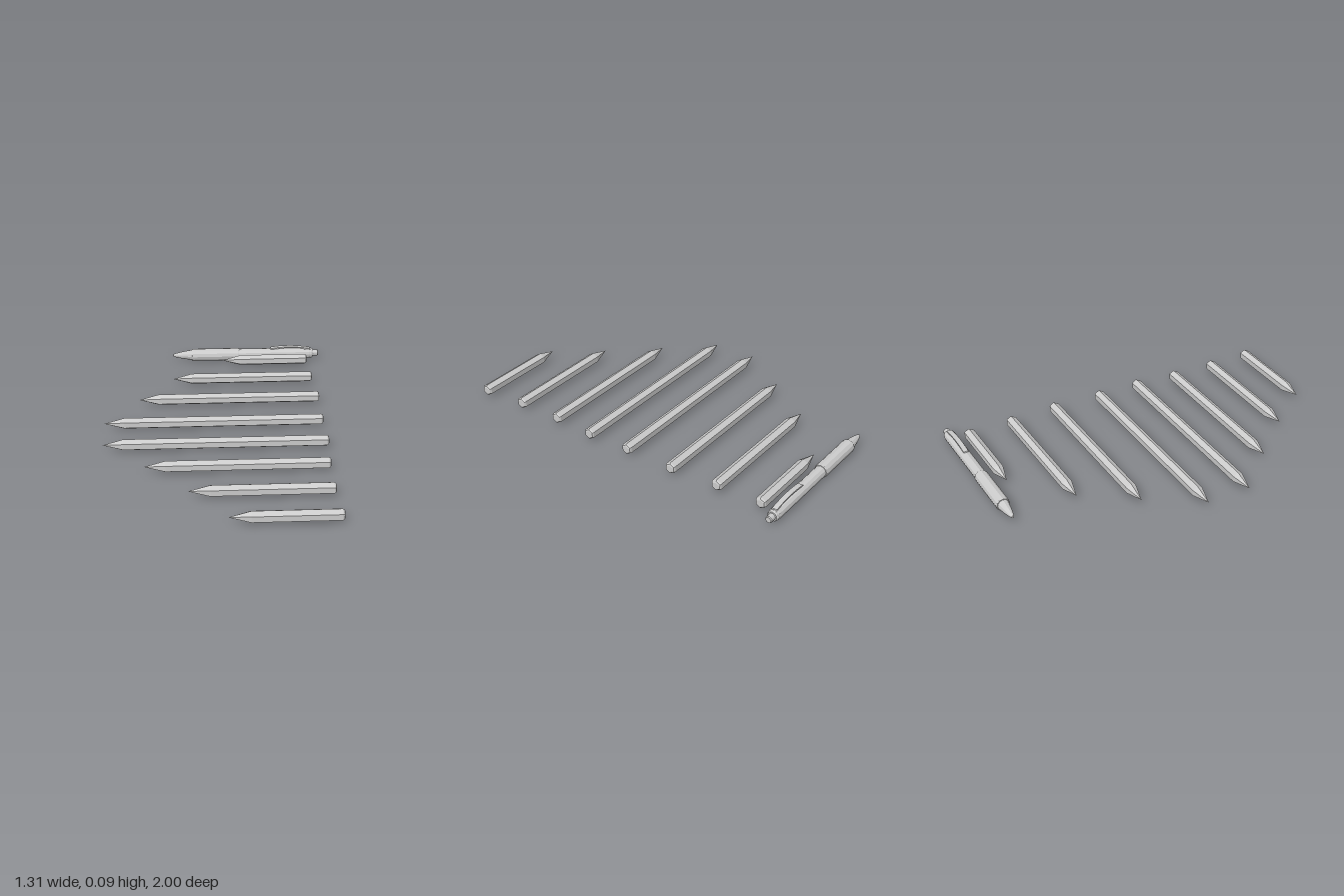
import * as THREE from 'three';

const material = new THREE.MeshStandardMaterial({ color: 0xcccccc, flatShading: true });

// Turned part lying along x; profile is [x, radius] from the tip to the end
function turned(name, profile, sides) {
  const points = profile.map(([x, r]) => new THREE.Vector2(r, x));
  const geometry = new THREE.LatheGeometry(points, sides, Math.PI / 2);
  geometry.rotateZ(-Math.PI / 2);
  const mesh = new THREE.Mesh(geometry, material);
  mesh.name = name;
  return mesh;
}

// Hexagonal pencil with a sharpened point and, optionally, an eraser end
function pencil(tip, end, eraserStart) {
  const R = 0.0325;
  const group = new THREE.Group();
  group.name = 'pencil';
  const cap = [[end - 0.012, R], [end - 0.003, R * 0.82], [end, R * 0.6], [end, 0]];
  const point = turned('sharpenedPoint', [[tip, 0], [tip + 0.112, R]], 6);
  const shaft = [[tip + 0.112, R]];
  if (eraserStart) {
    shaft.push([eraserStart, R]);
    group.add(turned('eraser', [[eraserStart, R], ...cap], 6));
  } else {
    shaft.push(...cap);
  }
  group.add(point, turned('shaft', shaft, 6));
  return group;
}

// Retractable pen with a grip, clip and push button
function pen() {
  const group = new THREE.Group();
  group.name = 'pen';
  const sides = 12;
  group.add(
    turned('penTip', [[-0.26, 0], [-0.258, 0.007], [-0.24, 0.013], [-0.2, 0.022], [-0.14, 0.032]], sides),
    turned('grip', [[-0.14, 0.03], [-0.14, 0.036], [-0.135, 0.038], [0.15, 0.038], [0.155, 0.036], [0.155, 0.03]], sides),
    turned('barrel', [[0.155, 0.033], [0.595, 0.033]], sides),
    turned('collar', [[0.595, 0.033], [0.6, 0.031], [0.612, 0.031], [0.62, 0.026], [0.62, 0]], sides),
    turned('pushButton', [[0.615, 0.019], [0.65, 0.019], [0.655, 0.015], [0.655, 0]], sides)
  );

  // Bowed clip, drawn from the side and extruded across the barrel
  const side = new THREE.Shape();
  side.moveTo(0.352, 0.033);
  side.lineTo(0.355, 0.038);
  side.quadraticCurveTo(0.47, 0.058, 0.6, 0.034);
  side.lineTo(0.61, 0.024);
  side.lineTo(0.57, 0.024);
  side.lineTo(0.56, 0.035);
  side.quadraticCurveTo(0.47, 0.046, 0.375, 0.033);
  side.closePath();
  const width = 0.028;
  const geometry = new THREE.ExtrudeGeometry(side, { depth: width, bevelEnabled: false, curveSegments: 8 });
  geometry.translate(0, 0, -width / 2);
  const clip = new THREE.Mesh(geometry, material);
  clip.name = 'clip';
  group.add(clip);
  return group;
}

export function createModel() {
  const model = new THREE.Group();
  model.name = 'pencilsAndPen';

  // z, tip x, end x, start of eraser
  const pencils = [
    [-0.861, 0.045, 0.57],
    [-0.603, -0.263, 0.572],
    [-0.328, -0.462, 0.583],
    [-0.039, -0.655, 0.571],
    [0.212, -0.655, 0.571, 0.482],
    [0.459, -0.43, 0.55, 0.458],
    [0.718, -0.207, 0.543, 0.48],
    [0.972, -0.018, 0.55, 0.457],
  ];
  for (const [z, tip, end, eraserStart] of pencils) {
    const p = pencil(tip, end, eraserStart);
    p.position.set(0, 0.042, z);
    model.add(p);
  }

  const ballpoint = pen();
  ballpoint.position.set(0, 0.038, -0.962);
  model.add(ballpoint);
  return model;
}
